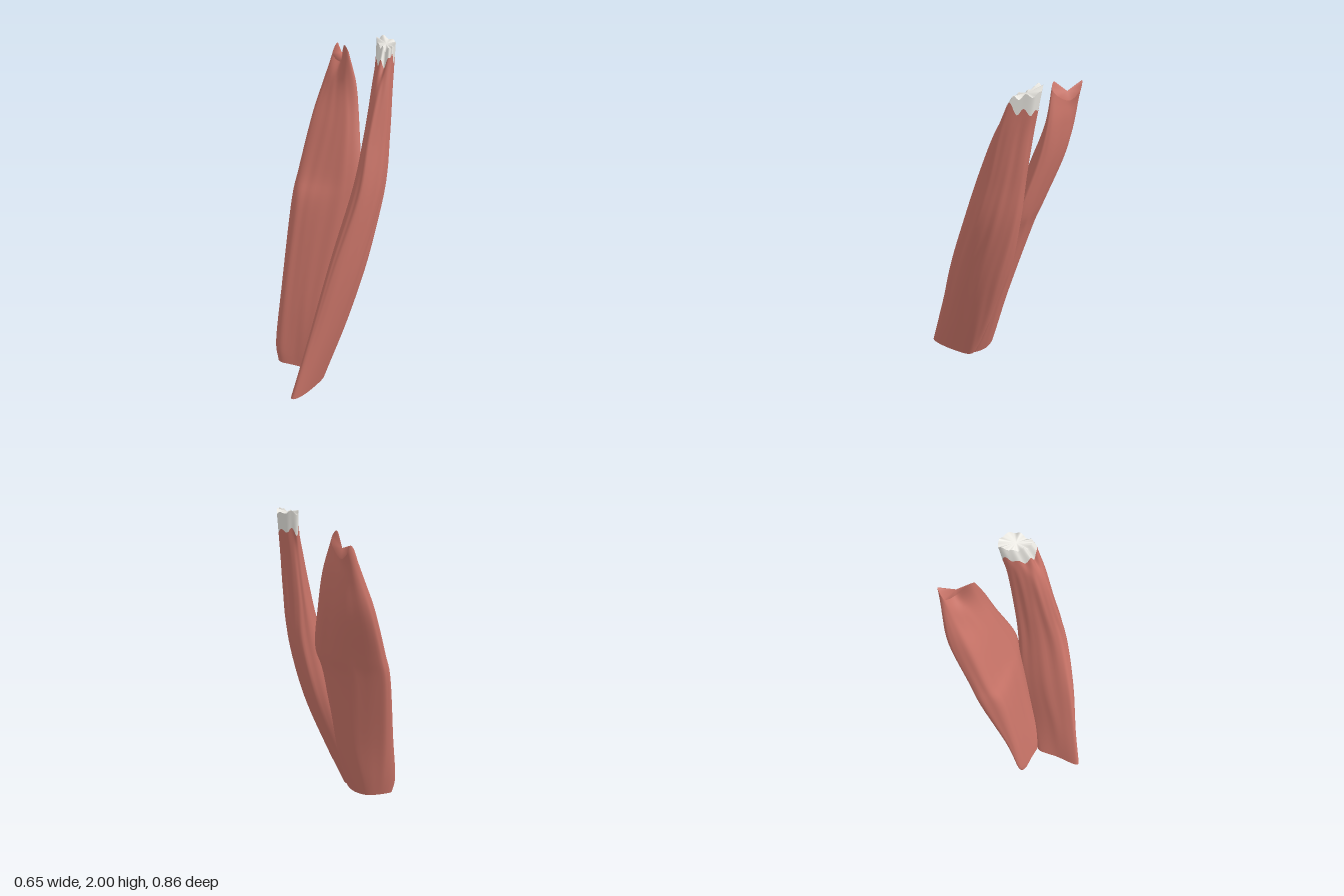
import * as THREE from 'three';

const AROUND = 64;

// Small repeating unevenness for torn edges
const jag = (j, size) => size * (Math.sin(j * 0.785) * 0.6 + Math.sin(j * 0.491 + 1) * 0.4);

// Smooth loft through sections { y, pts: [[x, z, optional y], ...] }, listed anticlockwise from above
function loft({ sections, rows, ripple = 0, topJag = 0, bottomJag = 0, capTop = true, capBottom = true }) {
  const rings = sections.map(({ y, pts }, s) => {
    const curve = new THREE.CatmullRomCurve3(
      pts.map(([x, z, py = y]) => new THREE.Vector3(x, py, z)), true, 'catmullrom', 0.5);
    const ring = [];
    for (let j = 0; j < AROUND; j++) {
      const p = curve.getPoint(j / AROUND);
      if (s === sections.length - 1) p.y += jag(j, topJag);
      if (s === 0) p.y += jag(j, bottomJag);
      ring.push(p);
    }
    return ring;
  });

  const pos = [], index = [];
  for (let j = 0; j < AROUND; j++) {
    const column = new THREE.CatmullRomCurve3(rings.map(r => r[j]), false, 'catmullrom', 0.5);
    for (let i = 0; i <= rows; i++) {
      const t = i / rows;
      const p = column.getPoint(t);
      // shallow lengthwise fibres that fade out at both ends
      const d = ripple * Math.sin(Math.PI * t) * (Math.sin(j * 0.7854 + t * 3) + 0.5 * Math.sin(j * 1.4726 - t * 4));
      const a = (j / AROUND) * Math.PI * 2 - Math.PI * 0.75;
      pos.push(p.x + d * Math.cos(a), p.y, p.z - d * Math.sin(a));
    }
  }
  const at = (i, j) => (j % AROUND) * (rows + 1) + i;
  for (let j = 0; j < AROUND; j++) {
    for (let i = 0; i < rows; i++) {
      const a = at(i, j), b = at(i, j + 1), c = at(i + 1, j), d = at(i + 1, j + 1);
      index.push(a, b, d, a, d, c);
    }
  }

  // End caps have their own vertices so their rims stay sharp
  const cap = (row, up) => {
    const start = pos.length / 3, mid = [0, 0, 0];
    for (let j = 0; j < AROUND; j++) {
      for (let k = 0; k < 3; k++) {
        const v = pos[at(row, j) * 3 + k];
        pos.push(v);
        mid[k] += v / AROUND;
      }
    }
    pos.push(...mid);
    for (let j = 0; j < AROUND; j++) {
      const a = start + j, b = start + (j + 1) % AROUND, c = start + AROUND;
      index.push(c, up ? a : b, up ? b : a);
    }
  };
  if (capTop) cap(rows, true);
  if (capBottom) cap(0, false);

  const geo = new THREE.BufferGeometry();
  geo.setAttribute('position', new THREE.Float32BufferAttribute(pos, 3));
  geo.setIndex(index);
  geo.computeVertexNormals();
  return geo;
}

// Broad belly, ending in two points with a notch between them
const broad = [
  { y: 0, pts: [[-.29, .1], [-.2, .115], [-.08, .14], [-.02, .15], [-.06, .08], [-.14, .04], [-.23, .045], [-.31, .07]] },
  { y: .14, pts: [[-.3, .085], [-.19, .095], [-.07, .12], [0, .11], [-.03, .05], [-.12, .01], [-.24, .015], [-.325, .055]] },
  { y: .5, pts: [[-.275, .03], [-.17, .04], [-.04, .045], [.05, .02], [.04, -.02], [-.06, -.065], [-.235, -.065], [-.297, -.02]] },
  { y: 1, pts: [[-.225, -.065], [-.12, -.05], [.04, -.05], [.11, -.08], [.08, -.14], [-.04, -.2], [-.215, -.205], [-.262, -.16]] },
  { y: 1.2, pts: [[-.2, -.14], [-.09, -.12], [.06, -.1], [.15, -.12], [.12, -.18], [0, -.26], [-.185, -.27], [-.226, -.22]] },
  { y: 1.5, pts: [[-.145, -.24], [-.04, -.205], [.06, -.19], [.125, -.215], [.1, -.275], [0, -.36], [-.13, -.375], [-.165, -.33]] },
  { y: 1.7, pts: [[-.09, -.335], [-.03, -.285], [.04, -.25], [.098, -.255], [.085, -.3], [0, -.385], [-.075, -.41], [-.108, -.38]] },
  { y: 1.82, pts: [[-.06, -.39, 1.84], [-.005, -.355, 1.81], [.022, -.29, 1.915], [.05, -.275, 1.89],
    [.05, -.305, 1.85], [.01, -.37, 1.81], [-.02, -.42, 1.85], [-.04, -.428, 1.9]] },
];

// Narrow belly, leaning outward as it rises
const narrowTop = { y: 1.885, pts: [[.25, -.08, 1.875], [.285, -.06], [.315, -.065, 1.925], [.322, -.12], [.315, -.18], [.26, -.21], [.22, -.2], [.225, -.14]] };
const narrow = [
  { y: 0, pts: [[-.15, .418], [-.11, .418], [-.05, .325], [0, .2], [-.02, .15], [-.08, .13], [-.14, .145], [-.142, .28]] },
  { y: .4, pts: [[-.05, .33], [-.01, .34], [.07, .275], [.13, .15], [.115, .06], [.05, .025], [-.025, .045], [-.055, .2]] },
  { y: .8, pts: [[.045, .24], [.09, .265], [.185, .205], [.235, .1], [.23, -.01], [.155, -.075], [.065, -.05], [.037, .09]] },
  { y: 1.2, pts: [[.15, .13], [.2, .165], [.285, .105], [.309, .01], [.295, -.09], [.225, -.13], [.15, -.095], [.138, .01]] },
  { y: 1.5, pts: [[.195, .04], [.23, .08], [.307, .03], [.321, -.05], [.305, -.135], [.235, -.16], [.195, -.135], [.185, -.05]] },
  { y: 1.75, pts: [[.225, -.03], [.265, 0], [.312, -.02], [.323, -.09], [.31, -.16], [.25, -.19], [.215, -.17], [.212, -.1]] },
  narrowTop,
];

// Pale stump above the narrow belly, taller toward the back
const stump = [
  narrowTop,
  { y: 1.95, pts: [[.255, -.12], [.285, -.09], [.315, -.085, 1.96], [.322, -.13, 1.965], [.318, -.19, 1.975], [.26, -.225, 1.985], [.215, -.215, 1.985], [.23, -.165, 1.965]] },
];

export function createModel() {
  const group = new THREE.Group();
  const red = new THREE.MeshStandardMaterial({ color: 0xc97468 });
  const pale = new THREE.MeshStandardMaterial({ color: 0xe8e6e0 });
  const add = (name, material, options) => {
    const mesh = new THREE.Mesh(loft(options), material);
    mesh.name = name;
    group.add(mesh);
  };
  add('broadMuscleHead', red, { sections: broad, rows: 42, ripple: 0.002 });
  add('narrowMuscleHead', red, { sections: narrow, rows: 42, ripple: 0.003, topJag: 0.025, capTop: false });
  add('tendonStump', pale, { sections: stump, rows: 4, bottomJag: 0.025, topJag: 0.015, capBottom: false });
  return group;
}
